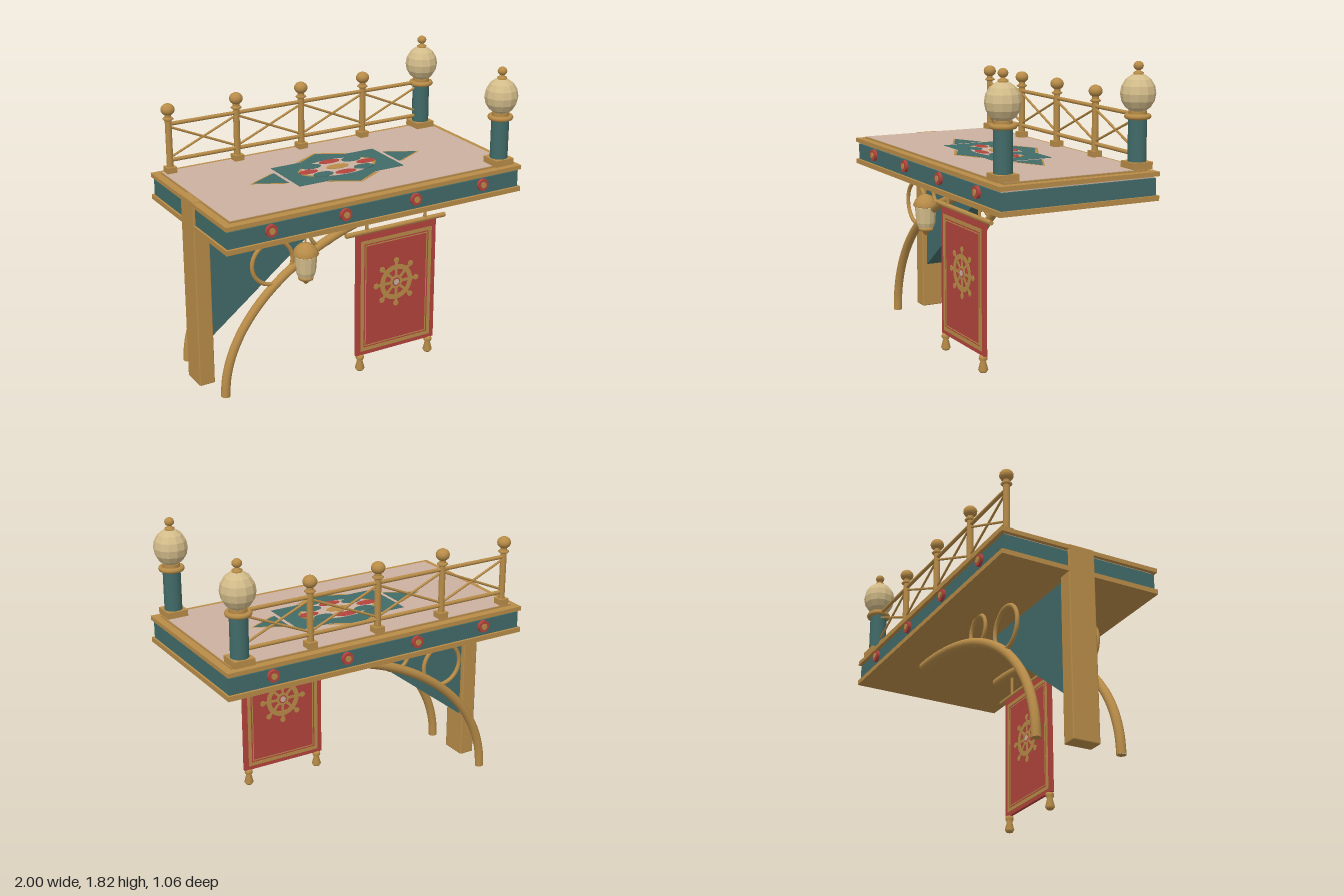
import * as THREE from 'three';
import { RoundedBoxGeometry } from 'three/addons/geometries/RoundedBoxGeometry.js';

const material = (name, color, flatShading = false) =>
  Object.assign(new THREE.MeshStandardMaterial({ color, flatShading }), { name });
const gold = material('aged gold', 0xb88c48);
const teal = material('teal', 0x416b68);
const red = material('banner red', 0xb3443c);
const tan = material('pale deck', 0xcbb0a0);
const cream = material('lamp cream', 0xd3bc8a, true);

const V = (x, y, z) => new THREE.Vector3(x, y, z);

function add(parent, name, geometry, mat, x = 0, y = 0, z = 0) {
  const mesh = new THREE.Mesh(geometry, mat);
  mesh.name = name;
  mesh.position.set(x, y, z);
  parent.add(mesh);
  return mesh;
}

// Box given by its bottom height
const box = (p, name, mat, w, h, d, x, y, z) =>
  add(p, name, new THREE.BoxGeometry(w, h, d), mat, x, y + h / 2, z);

// Round bar between two points
function bar(p, name, mat, a, b, r, sides = 10) {
  const mesh = add(p, name, new THREE.CylinderGeometry(r, r, a.distanceTo(b), sides), mat);
  mesh.position.copy(a).lerp(b, 0.5);
  mesh.quaternion.setFromUnitVectors(V(0, 1, 0), b.clone().sub(a).normalize());
  return mesh;
}

// Turned part from [radius, height] pairs, bottom to top
const turned = (p, name, mat, pts, x, y, z, sides = 16) =>
  add(p, name, new THREE.LatheGeometry(pts.map(q => new THREE.Vector2(...q)), sides), mat, x, y, z);

const polygon = pts => new THREE.Shape(pts.map(q => new THREE.Vector2(...q)));
const ellipse = (x, y, rx, ry) => new THREE.Shape().absellipse(x, y, rx, ry, 0, Math.PI * 2);
const rect = (w, h) => polygon([[-w / 2, -h / 2], [w / 2, -h / 2], [w / 2, h / 2], [-w / 2, h / 2]]);
function withHole(shape, hole) {
  shape.holes.push(hole);
  return shape;
}
const extrude = (shape, depth) =>
  new THREE.ExtrudeGeometry(shape, { depth, bevelEnabled: false, curveSegments: 16 });

function buildPlatform(root) {
  const g = new THREE.Group();
  g.name = 'platform';
  root.add(g);
  box(g, 'bottomBoard', gold, 2, 0.03, 1.02, 0, 1.045, 0);
  box(g, 'fascia', teal, 1.975, 0.1, 0.99, 0, 1.075, 0);
  box(g, 'deckCore', tan, 1.95, 0.015, 0.97, 0, 1.173, 0);
  box(g, 'topTrim', gold, 2, 0.026, 1.02, 0, 1.186, 0);
  box(g, 'deckEdge', gold, 1.91, 0.01, 0.925, 0, 1.212, 0);
  box(g, 'deckFloor', tan, 1.9, 0.003, 0.915, 0, 1.221, 0);
  // Rosettes along both long sides
  for (const s of [1, -1]) {
    for (let i = 0; i < 4; i++) {
      const x = -0.72 + i * 0.479;
      add(g, 'rosette', new THREE.CylinderGeometry(0.037, 0.037, 0.022, 12), red, x, 1.137, s * 0.504).rotation.x = Math.PI / 2;
      add(g, 'rosetteCentre', new THREE.CylinderGeometry(0.019, 0.019, 0.028, 12), gold, x, 1.137, s * 0.506).rotation.x = Math.PI / 2;
    }
  }
}

function buildInlay(root) {
  const g = new THREE.Group();
  g.name = 'deckInlay';
  g.position.y = 1.2235;
  g.rotation.x = -Math.PI / 2;
  root.add(g);
  const plate = (name, mat, shape, layer) => add(g, name, extrude(shape, 0.0012 * layer), mat);
  for (const s of [1, -1]) {
    plate('sidePointEdge', gold, polygon([[s * 0.4, 0.1], [s * 0.4, 0.08], [s * 0.56, 0], [s * 0.4, -0.08], [s * 0.4, -0.1], [s * 0.59, 0]]), 1);
    plate('sidePoint', teal, polygon([[s * 0.385, 0.095], [s * 0.385, -0.095], [s * 0.57, 0]]), 2);
    plate('endPointEdge', gold, polygon([[-0.185, s * 0.19], [0.185, s * 0.19], [0, s * 0.29]]), 1);
    plate('endPoint', teal, polygon([[-0.165, s * 0.175], [0.165, s * 0.175], [0, s * 0.272]]), 2);
  }
  plate('field', teal, rect(0.72, 0.36), 2);
  plate('medallionRim', gold, ellipse(0, 0, 0.262, 0.13), 3);
  plate('medallion', tan, ellipse(0, 0, 0.235, 0.135), 4);
  for (const s of [1, -1]) {
    for (const t of [1, -1]) plate('petal', teal, ellipse(s * 0.14, t * 0.075, 0.065, 0.04), 5);
    plate('sideJewel', red, ellipse(s * 0.2, 0, 0.062, 0.032), 6);
    plate('endJewel', red, ellipse(0, s * 0.1, 0.07, 0.031), 6);
  }
  plate('centreJewel', gold, ellipse(0, 0, 0.075, 0.037), 6);
}

function buildSupport(root) {
  const g = new THREE.Group();
  g.name = 'support';
  root.add(g);
  add(g, 'wallPost', new RoundedBoxGeometry(0.1, 1.18, 0.17, 1, 0.008), gold, -0.95, 0.63, 0);
  add(g, 'gusset', extrude(polygon([[-0.9, 0.33], [0.03, 1.046], [-0.9, 1.046]]), 0.106), teal, 0, 0, -0.053);
  // Pair of arched braces with scroll rings
  const arch = [];
  for (let i = 0; i <= 16; i++) {
    const a = (i / 16) * Math.PI / 2;
    arch.push(V(0.51 - 1.43 * Math.cos(a), 0.04 + 0.99 * Math.sin(a), 0));
  }
  const curve = new THREE.CatmullRomCurve3(arch);
  for (const z of [0.265, -0.265]) {
    add(g, 'archBrace', new THREE.TubeGeometry(curve, 40, 0.028, 10), gold, 0, 0, z);
    arch.filter((_, i) => i % 16 === 0).forEach((p, i) => {
      const cap = add(g, 'archEnd', new THREE.CircleGeometry(0.028, 10), gold, p.x, p.y, z);
      if (i) cap.rotation.y = Math.PI / 2;
      else cap.rotation.x = Math.PI / 2;
    });
    add(g, 'largeScroll', new THREE.TorusGeometry(0.133, 0.013, 8, 32), gold, -0.593, 0.825, z);
    add(g, 'smallScroll', new THREE.TorusGeometry(0.093, 0.012, 8, 28), gold, -0.25, 0.957, z);
  }
}

function buildRailing(root) {
  const g = new THREE.Group();
  g.name = 'railing';
  root.add(g);
  const z = -0.43, step = 0.448;
  for (let i = 0; i < 4; i++) {
    const x = -0.906 + i * step;
    box(g, 'postBase', gold, 0.062, 0.038, 0.062, x, 1.222, z);
    bar(g, 'railPost', gold, V(x, 1.25, z), V(x, 1.585, z), 0.02);
    turned(g, 'postCollar', gold, [[0, 0], [0.025, 0], [0.034, 0.008], [0.025, 0.018], [0, 0.018]], x, 1.55, z);
    add(g, 'postKnob', new THREE.SphereGeometry(0.042, 14, 10), gold, x, 1.615, z).scale.y = 0.88;
    bar(g, 'crossBrace', gold, V(x, 1.315, z), V(x + step, 1.51, z), 0.0075, 8);
    bar(g, 'crossBrace', gold, V(x, 1.51, z), V(x + step, 1.315, z), 0.0075, 8);
  }
  for (const y of [1.3, 1.525]) bar(g, 'rail', gold, V(-0.906, y, z), V(0.885, y, z), 0.012);
}

function buildLampPier(root, z) {
  const g = new THREE.Group();
  g.name = 'lampPier';
  g.position.set(0.885, 0, z);
  root.add(g);
  box(g, 'pierBase', gold, 0.13, 0.04, 0.13, 0, 1.222, 0);
  bar(g, 'pierColumn', teal, V(0, 1.26, 0), V(0, 1.51, 0), 0.054, 14);
  add(g, 'pierRing', new THREE.TorusGeometry(0.062, 0.016, 8, 24), gold, 0, 1.518, 0).rotation.x = Math.PI / 2;
  bar(g, 'lampSeat', gold, V(0, 1.505, 0), V(0, 1.55, 0), 0.052, 14);
  add(g, 'lampGlobe', new THREE.SphereGeometry(0.102, 12, 8), cream, 0, 1.648, 0).scale.y = 1.1;
  turned(g, 'finialCollar', gold, [[0.028, 0], [0.03, 0.012], [0.012, 0.022], [0.012, 0.04]], 0, 1.752, 0);
  add(g, 'finialKnob', new THREE.SphereGeometry(0.029, 12, 8), gold, 0, 1.802, 0).scale.y = 0.9;
}

function buildLantern(root) {
  const g = new THREE.Group();
  g.name = 'hangingLantern';
  g.position.set(-0.39, 0, 0.297);
  root.add(g);
  bar(g, 'lanternRod', gold, V(0, 0.9, 0), V(0, 1.05, 0), 0.007, 8);
  turned(g, 'lanternCap', gold, [[0, 0], [0.07, 0], [0.08, 0.006], [0.066, 0.04], [0.04, 0.065], [0.018, 0.075], [0, 0.08]], 0, 0.843, 0, 12);
  turned(g, 'lanternGlass', cream, [[0, 0], [0.05, 0], [0.06, 0.03], [0.068, 0.13], [0, 0.137]], 0, 0.71, 0, 12);
  turned(g, 'lanternTip', gold, [[0, 0], [0.015, 0.012], [0.022, 0.03], [0.045, 0.035], [0.045, 0.05], [0, 0.06]], 0, 0.655, 0, 12);
}

function buildBanner(root) {
  const g = new THREE.Group();
  g.name = 'banner';
  g.position.set(0.213, 0, 0.333);
  root.add(g);
  bar(g, 'bannerRod', gold, V(-0.352, 0.918, 0), V(0.352, 0.918, 0), 0.015);
  box(g, 'bannerCloth', red, 0.565, 0.795, 0.02, 0, 0.11, 0);
  for (const s of [1, -1]) {
    bar(g, 'bannerHanger', gold, V(s * 0.207, 0.918, 0), V(s * 0.207, 1.05, 0), 0.01, 8);
    turned(g, 'tassel', gold, [[0, 0], [0.02, 0.004], [0.03, 0.018], [0.017, 0.07], [0.026, 0.085], [0.024, 0.105], [0, 0.112]], s * 0.25, 0.004, 0, 12);
    // Embroidery on this face
    const face = new THREE.Group();
    face.name = 'embroidery';
    face.position.set(0, 0.5, s * 0.01);
    face.rotation.y = s > 0 ? 0 : Math.PI;
    g.add(face);
    add(face, 'border', extrude(withHole(rect(0.505, 0.73), rect(0.46, 0.685)), 0.002), gold);
    add(face, 'innerBorder', extrude(withHole(rect(0.442, 0.667), rect(0.43, 0.655)), 0.002), gold);
    const wheel = new THREE.Group();
    wheel.name = 'wheelEmblem';
    wheel.position.y = 0.05;
    face.add(wheel);
    add(wheel, 'wheelRim', extrude(withHole(ellipse(0, 0, 0.115, 0.115), ellipse(0, 0, 0.084, 0.084)), 0.003), gold);
    for (let i = 0; i < 8; i++) {
      const a = (i * Math.PI) / 4;
      add(wheel, 'spoke', new THREE.BoxGeometry(0.155, 0.018, 0.005), gold, 0.077 * Math.cos(a), 0.077 * Math.sin(a), 0).rotation.z = a;
      add(wheel, 'spokeKnob', extrude(ellipse(0, 0, 0.018, 0.018), 0.003), gold, 0.143 * Math.cos(a), 0.143 * Math.sin(a), 0);
    }
    add(wheel, 'hub', extrude(ellipse(0, 0, 0.042, 0.042), 0.004), gold);
    add(wheel, 'hubRing', extrude(ellipse(0, 0, 0.027, 0.027), 0.005), red);
    add(wheel, 'hubCentre', extrude(ellipse(0, 0, 0.019, 0.019), 0.007), tan);
  }
}

export function createModel() {
  const root = new THREE.Group();
  root.name = 'bracketedBalcony';
  buildPlatform(root);
  buildInlay(root);
  buildSupport(root);
  buildRailing(root);
  for (const z of [0.43, -0.43]) buildLampPier(root, z);
  buildLantern(root);
  buildBanner(root);
  return root;
}
